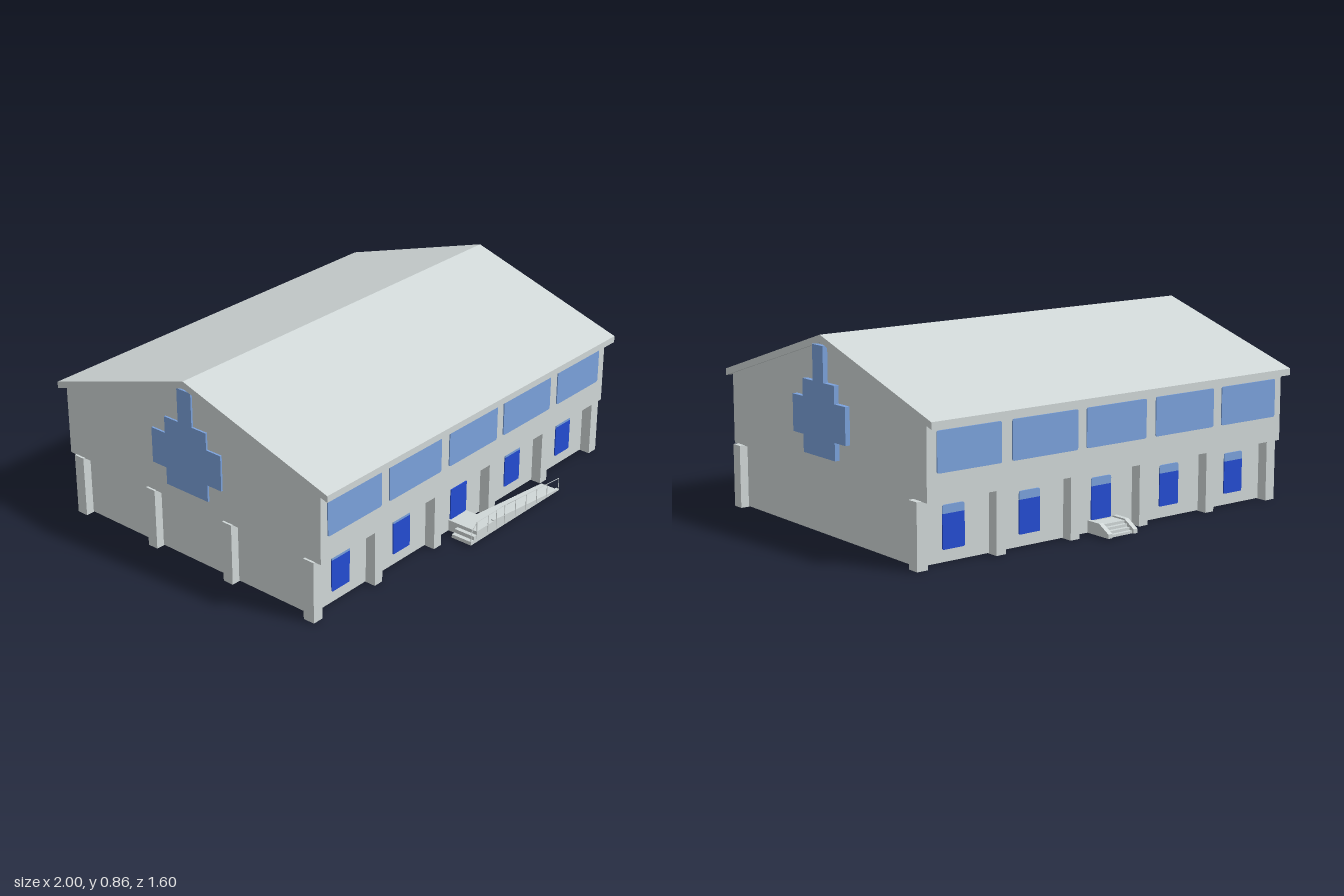
import * as THREE from 'three';

const wallMat = new THREE.MeshStandardMaterial({ color: 0xd0d7d7 });
wallMat.name = 'pale grey';
const glassMat = new THREE.MeshStandardMaterial({ color: 0x7ba2dc });
glassMat.name = 'light blue';
const blueMat = new THREE.MeshStandardMaterial({ color: 0x244cd2 });
blueMat.name = 'deep blue';

const MID_Z = -0.015; // ridge line of the building

export function createModel() {
  const model = new THREE.Group();
  model.name = 'hall';

  const add = (name, geometry, material = wallMat) => {
    const mesh = new THREE.Mesh(geometry, material);
    mesh.name = name;
    model.add(mesh);
    return mesh;
  };
  const box = (name, x0, x1, y0, y1, z0, z1, material) =>
    add(name, new THREE.BoxGeometry(x1 - x0, y1 - y0, z1 - z0)
      .translate((x0 + x1) / 2, (y0 + y1) / 2, (z0 + z1) / 2), material);
  const toShape = (pts) => new THREE.Shape(pts.map(([a, b]) => new THREE.Vector2(a, b)));
  // Profile of (z, y) points extruded from x0 to x1
  const alongX = (name, pts, x0, x1, material) =>
    add(name, new THREE.ExtrudeGeometry(toShape(pts), { depth: x1 - x0, bevelEnabled: false })
      .rotateY(-Math.PI / 2).translate(x1, 0, 0), material);
  // Profile of (x, y) points extruded from z0 to z1
  const alongZ = (name, pts, z0, z1, material) =>
    add(name, new THREE.ExtrudeGeometry(toShape(pts), { depth: z1 - z0, bevelEnabled: false })
      .translate(0, 0, z0), material);
  // Thin plate with rounded corners: rb at the bottom, rt at the top
  const plate = (name, x0, x1, y0, y1, z, rb, rt, material) => {
    const s = new THREE.Shape();
    s.moveTo(x0 + rb, y0).lineTo(x1 - rb, y0).quadraticCurveTo(x1, y0, x1, y0 + rb);
    s.lineTo(x1, y1 - rt).quadraticCurveTo(x1, y1, x1 - rt, y1);
    s.lineTo(x0 + rt, y1).quadraticCurveTo(x0, y1, x0, y1 - rt);
    s.lineTo(x0, y0 + rb).quadraticCurveTo(x0, y0, x0 + rb, y0);
    return add(name, new THREE.ExtrudeGeometry(s, { depth: 0.006, bevelEnabled: false, curveSegments: 4 })
      .translate(0, 0, z - 0.003), material);
  };
  const rod = (name, a, b, r = 0.002) => {
    const from = new THREE.Vector3(...a), to = new THREE.Vector3(...b);
    return add(name, new THREE.TubeGeometry(new THREE.LineCurve3(from, to), 1, r, 4));
  };

  // Recessed ground floor and overhanging upper floor with gables
  box('groundFloor', -0.96, 0.96, 0.003, 0.285, -0.665, 0.64);
  alongX('upperFloor', [[-0.75, 0.282], [0.72, 0.282], [0.72, 0.605], [MID_Z, 0.835], [-0.75, 0.605]], -0.99, 0.975);

  // Pitched roof slab
  alongX('roof', [[0.765, 0.585], [0.765, 0.615], [MID_Z, 0.862], [-0.797, 0.615], [-0.797, 0.585], [MID_Z, 0.83]],
    -1, 0.985);

  // Pillars along the front and back, then two on the left end
  for (const x of [-0.974, -0.595, -0.2, 0.185, 0.579, 0.973]) {
    const h = Math.abs(x) > 0.9 ? 0.0265 : 0.024;
    box('frontPillar', x - h, x + h, 0, 0.284, 0.635, 0.69);
    box('backPillar', x - h, x + h, 0, 0.284, -0.715, -0.66);
  }
  for (const z of [-0.24, 0.21]) box('sidePillar', -1, -0.955, 0, 0.284, z - 0.026, z + 0.026);

  // Windows on both long sides
  const upper = [[-0.95, -0.62], [-0.57, -0.23], [-0.175, 0.157], [0.205, 0.55], [0.605, 0.927]];
  for (const z of [0.722, -0.752])
    for (const [x0, x1] of upper) plate('upperWindow', x0, x1, 0.395, 0.567, z, 0.01, 0.01, glassMat);
  for (const z of [0.642, -0.667])
    for (const x of [-0.782, -0.39, 0.002, 0.393, 0.785]) {
      const door = Math.abs(x) < 0.1;
      plate(door ? 'door' : 'lowerWindow', x - 0.055, x + 0.055, 0.055, 0.203, z, 0.006, 0.001, blueMat);
      if (!door || z < 0) plate('transom', x - 0.055, x + 0.055, 0.203, 0.24, z, 0.001, 0.012, glassMat);
    }

  // Stepped cross on each gable
  const half = [[0.04, 0.82], [0.04, 0.665], [0.12, 0.665], [0.12, 0.588], [0.2, 0.588],
    [0.2, 0.425], [0.12, 0.425], [0.12, 0.347]];
  const cross = [...half, ...half.slice().reverse().map(([z, y]) => [-z, y])]
    .map(([z, y]) => [z + MID_Z, y]);
  alongX('rightCross', cross, 0.974, 0.998, glassMat);
  alongX('leftCross', cross, -0.999, -0.989, glassMat);

  // Front landing with end steps
  box('landing', -0.06, 0.06, 0.003, 0.055, 0.635, 0.795);
  box('landingStep', -0.08, -0.06, 0.003, 0.038, 0.69, 0.795);
  box('landingStep', -0.1, -0.08, 0.003, 0.02, 0.69, 0.795);

  // Finely ribbed ramp with a smooth kerb
  const ribs = [[0.06, 0.003]], n = 40;
  for (let i = n - 1; i >= 0; i--) {
    const y = 0.005 + 0.048 * (1 - i / n);
    ribs.push([0.06 + 0.49 * (i + 1) / n, y], [0.06 + 0.49 * i / n, y]);
  }
  alongZ('ramp', ribs, 0.7, 0.78);
  alongZ('rampKerb', [[0.06, 0.003], [0.555, 0.003], [0.555, 0.01], [0.06, 0.06]], 0.78, 0.795);

  // Handrail
  rod('handrail', [-0.06, 0.102, 0.795], [0.14, 0.102, 0.795]);
  rod('handrail', [0.14, 0.102, 0.795], [0.55, 0.066, 0.795]);
  rod('handrail', [-0.1, 0.065, 0.795], [-0.06, 0.102, 0.795]);
  for (const x of [-0.1, -0.06, 0.02, 0.08, 0.14, 0.22, 0.3, 0.38, 0.46, 0.55]) {
    const top = x < -0.08 ? 0.065 : x <= 0.14 ? 0.102 : 0.102 - (x - 0.14) * 0.088;
    rod('railPost', [x, x < 0.06 ? 0.02 : 0.01, 0.795], [x, top, 0.795]);
  }

  // Back steps between sloping side walls
  const cheek = [[-0.66, 0.003], [-0.66, 0.057], [-0.74, 0.057], [-0.8, 0.022], [-0.8, 0.003]];
  alongX('stairCheek', cheek, -0.09, -0.068);
  alongX('stairCheek', cheek, 0.052, 0.074);
  for (let i = 0; i < 4; i++)
    box('backStep', -0.068, 0.052, 0.003, 0.05 - i * 0.012, -0.74 - i * 0.017, -0.66);

  return model;
}
